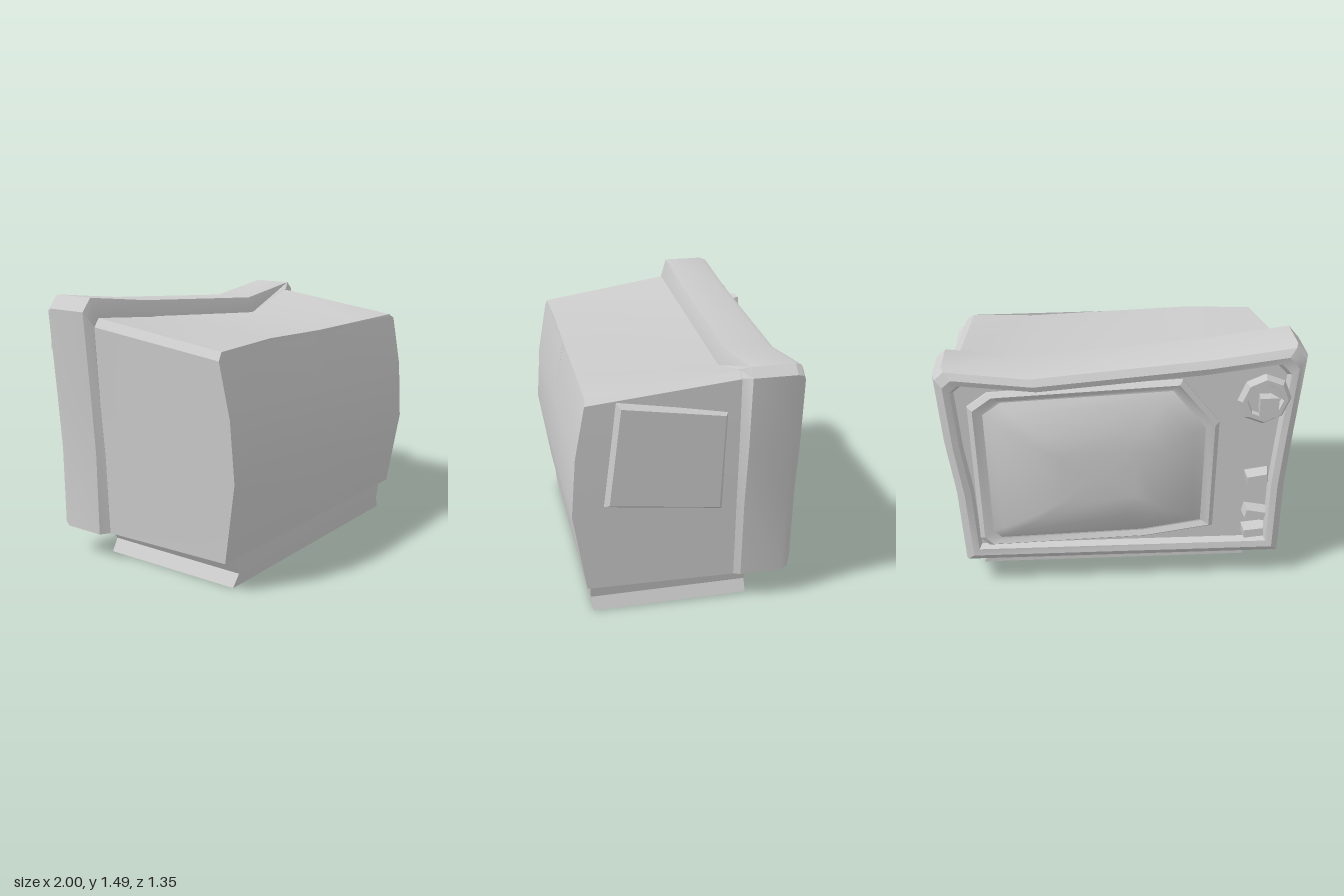
import * as THREE from 'three';
import { toCreasedNormals } from 'three/addons/utils/BufferGeometryUtils.js';

const grey = new THREE.MeshStandardMaterial({ color: 0xcccccc });
grey.name = 'casing grey';

function part(name, geometry, crease = 0.45) {
  const mesh = new THREE.Mesh(toCreasedNormals(geometry, crease), grey);
  mesh.name = name;
  return mesh;
}

// Skin over closed rings of [x, y, z] points, with both ends capped by fans.
// Rings run counter-clockwise as seen from the end they travel towards.
function loft(rings) {
  const n = rings[0].length;
  const pos = rings.flat(2);
  const index = [];
  for (let r = 0; r < rings.length - 1; r++) {
    for (let i = 0; i < n; i++) {
      const j = (i + 1) % n, a = r * n, b = a + n;
      index.push(a + i, a + j, b + j, a + i, b + j, b + i);
    }
  }
  [[0, true], [rings.length - 1, false]].forEach(([r, flip]) => {
    const c = pos.length / 3;
    for (let k = 0; k < 3; k++) pos.push(rings[r].reduce((s, p) => s + p[k], 0) / n);
    for (let i = 0; i < n; i++) {
      const a = r * n + i, b = r * n + (i + 1) % n;
      index.push(c, flip ? b : a, flip ? a : b);
    }
  });
  const g = new THREE.BufferGeometry();
  g.setAttribute('position', new THREE.Float32BufferAttribute(pos, 3));
  g.setIndex(index);
  return g;
}

const atZ = (outline, z) => outline.map(([x, y]) => [x, y, z]);

// Moves an outline inwards by about d on each side
const inset = (outline, d) => outline.map(([x, y]) =>
  [x * (1 - d / 0.95), 0.78 + (y - 0.78) * (1 - d / 0.6)]);

// Outlines: up one side, over the sagging top, down the other side
const bodyFar = [[-0.88, 0.165], [-0.9, 0.62], [-0.93, 0.95], [-0.955, 1.345], [-0.92, 1.39], [-0.45, 1.34],
  [0.5, 1.25], [0.88, 1.36], [0.93, 1.33], [0.92, 0.95], [0.9, 0.62], [0.88, 0.165]];
const bodyNear = [[-0.87, 0.175], [-0.885, 0.62], [-0.89, 0.95], [-0.905, 1.24], [-0.87, 1.28], [-0.45, 1.29],
  [0.5, 1.25], [0.86, 1.26], [0.9, 1.235], [0.895, 0.95], [0.885, 0.62], [0.87, 0.175]];
const frameOutline = [[-0.93, 0.165], [-0.935, 0.62], [-0.96, 0.95], [-1, 1.42], [-0.94, 1.49], [-0.5, 1.43],
  [0.5, 1.34], [0.95, 1.395], [1, 1.35], [0.97, 0.95], [0.925, 0.62], [0.9, 0.17]];
const screenOutline = [[-0.53, 0.36], [-0.54, 1.04], [-0.33, 1.3], [0.72, 1.25], [0.83, 1.17],
  [0.81, 0.32], [0.76, 0.27], [-0.15, 0.3]];

function buildBody() {
  // Bulging closed end: depth depends on height
  const depth = [0.6, 0.67, 0.645, 0.59, 0.58, 0.58, 0.58, 0.58, 0.59, 0.645, 0.67, 0.6];
  const near = bodyNear.map(([x, y], i) => [x, y, depth[i] + x * 0.008]);
  const middle = near.map(([, y], i) => [0, i > 3 && i < 8 ? 1.27 : y, depth[i]]);
  return part('body', loft([middle, near, atZ(bodyFar, -0.25)]));
}

function buildFrame() {
  return part('screenFrame', loft([
    atZ(bodyFar, -0.2),
    atZ(frameOutline, -0.235),
    atZ(frameOutline, -0.47),
    atZ(inset(frameOutline, 0.012), -0.505),
    atZ(inset(frameOutline, 0.05), -0.53),
    atZ(inset(frameOutline, 0.085), -0.52),
    atZ(inset(frameOutline, 0.1), -0.48),
  ]));
}

function buildScreen() {
  const ring = (s, z) => screenOutline.map(([x, y]) => [0.12 + (x - 0.12) * s, 0.78 + (y - 0.78) * s, z]);
  const group = new THREE.Group();
  group.name = 'screen';
  group.add(
    part('screenRim', loft([ring(1, -0.46), ring(1, -0.495), ring(0.96, -0.52), ring(0.9, -0.505)])),
    part('screenGlass', loft([ring(0.9, -0.5), ring(0.8, -0.535), ring(0.53, -0.605), ring(0.3, -0.62)]), 0.7),
  );
  return group;
}

function buildBase() {
  const ring = (x0, x1, y, z0, z1) => [[x0, y, z1], [x1, y, z1], [x1, y, z0], [x0, y, z0]];
  return part('base', loft([
    ring(-0.77, 0.82, 0, -0.29, 0.57),
    ring(-0.73, 0.79, 0.07, -0.29, 0.58),
    ring(-0.8, 0.81, 0.18, -0.295, 0.585),
  ]), 0.2);
}

function buildSidePanel() {
  const corners = [[0.51, 0.67], [-0.12, 0.59], [-0.14, 1.155], [0.44, 1.245]];
  const ring = (s, out) => corners.map(([z, y]) =>
    [0.925 + (y - 0.62) * 0.033 + out, 0.915 + (y - 0.915) * s, 0.17 + (z - 0.17) * s]);
  return part('sidePanel', loft([ring(1, -0.08), ring(1, -0.03), ring(0.93, 0)]), 0.2);
}

function buildDial() {
  const group = new THREE.Group();
  group.name = 'tuningDial';
  const profile = [[0, -0.06], [0.06, -0.06], [0.07, 0], [0.13, 0.01], [0.148, 0.045], [0.125, 0.075],
    [0.1, 0.075], [0.09, 0.05], [0, 0.05]].map(([r, y]) => new THREE.Vector2(r, y));
  const handle = new THREE.CylinderGeometry(0.08, 0.045, 0.12, 4).rotateY(Math.PI / 4);
  handle.scale(0.9, 1, 1).translate(0, 0.095, 0);
  group.add(part('dialRing', new THREE.LatheGeometry(profile, 8), 0.2), part('dialHandle', handle, 0.2));
  group.rotation.set(-Math.PI / 2, 0, 0.05);
  group.position.set(-0.76, 1.21, -0.52);
  return group;
}

function buildSlider(y, tilt) {
  // Wedge knob, thinner at its outer end
  const g = new THREE.BoxGeometry(0.14, 0.06, 0.12);
  const p = g.attributes.position;
  for (let i = 0; i < p.count; i++) {
    if (p.getZ(i) < 0) {
      p.setX(i, p.getX(i) * 0.8 + 0.01);
      p.setY(i, p.getY(i) * 0.85 + 0.005);
    }
  }
  const mesh = part('sliderKnob', g, 0.2);
  mesh.position.set(-0.77, y, -0.51);
  mesh.rotation.z = tilt;
  return mesh;
}

export function createModel() {
  const model = new THREE.Group();
  model.name = 'television';
  model.add(buildBody(), buildFrame(), buildScreen(), buildBase(), buildSidePanel(), buildDial());
  [[0.7, -0.15], [0.46, 0.2], [0.34, -0.1]].forEach(([y, tilt]) => model.add(buildSlider(y, tilt)));
  return model;
}
